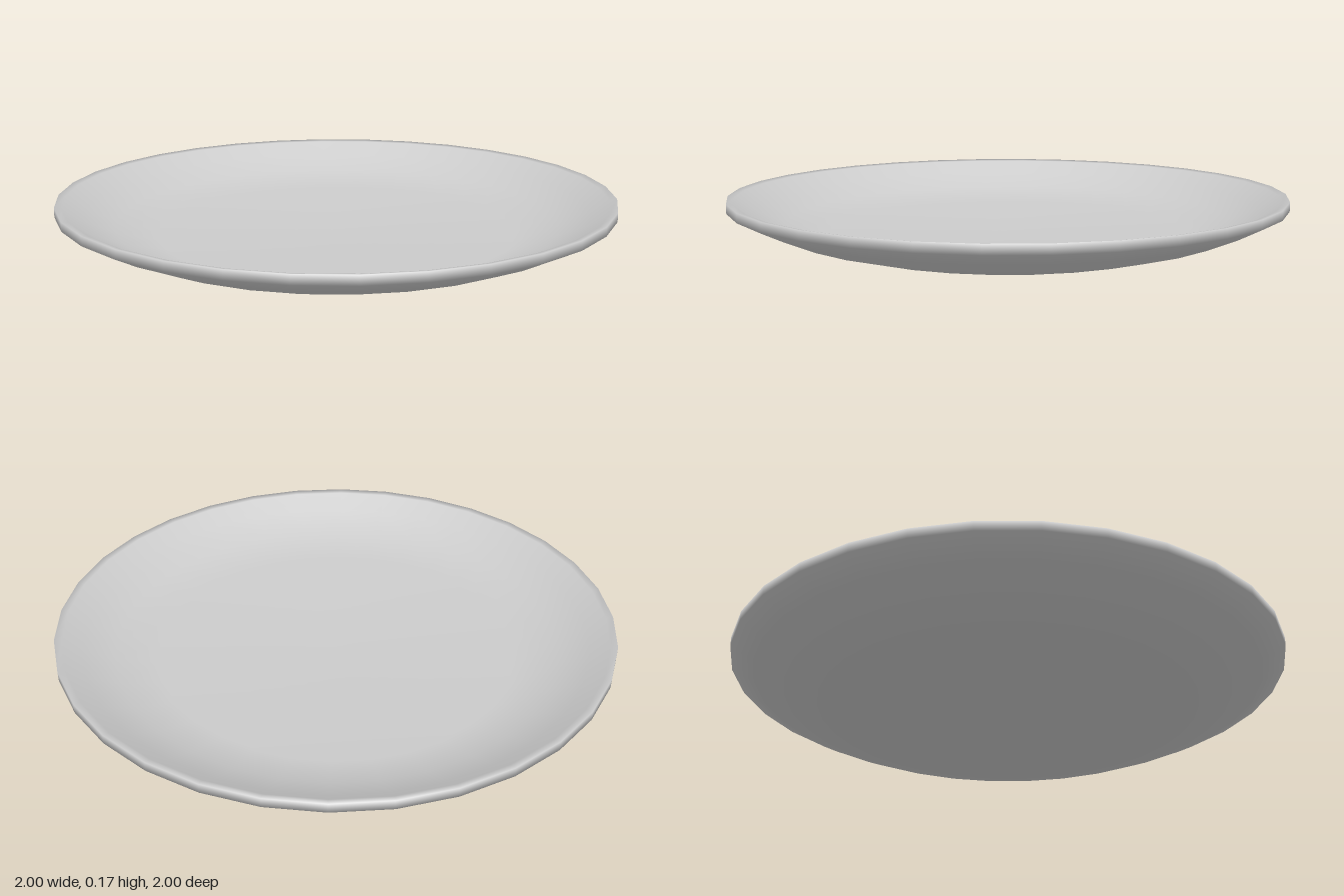
import * as THREE from 'three';

export function createModel() {
  const group = new THREE.Group();
  const material = new THREE.MeshStandardMaterial({ color: 0xcccccc });

  // Closed cross-section [radius, height]: underside, rim, then dished top
  const profile = [
    [0, 0], [0.66, 0.005], [0.81, 0.047], [0.92, 0.095], [1, 0.137],
    [1, 0.17], [0.975, 0.165],
    [0.91, 0.119], [0.80, 0.07], [0.65, 0.03], [0, 0.022],
  ].map(([r, y]) => new THREE.Vector2(r, y));

  const plate = new THREE.Mesh(new THREE.LatheGeometry(profile, 32), material);
  plate.name = 'plate';
  group.add(plate);
  return group;
}
